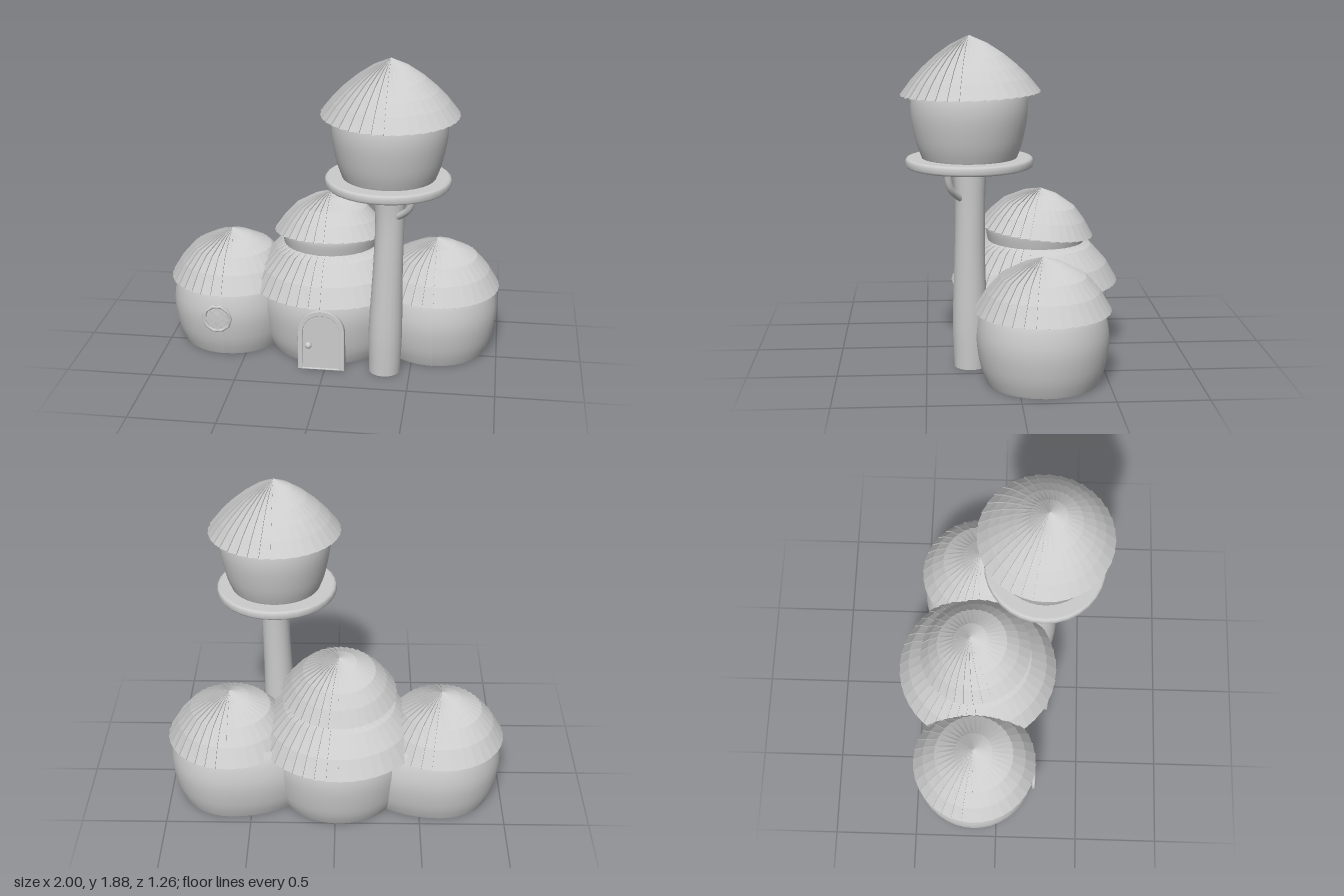
import * as THREE from 'three';

const smooth = new THREE.MeshStandardMaterial({ color: 0xcccccc });
const thatch = new THREE.MeshStandardMaterial({ color: 0xcccccc, flatShading: true, side: THREE.DoubleSide });
const v2 = (p) => new THREE.Vector2(p[0], p[1]);

export function createModel() {
  const model = new THREE.Group();

  function add(name, geometry, x = 0, y = 0, z = 0, material = smooth, parent = model) {
    const mesh = new THREE.Mesh(geometry, material);
    mesh.name = name;
    mesh.position.set(x, y, z);
    parent.add(mesh);
    return mesh;
  }

  // Bulging round wall with a closed, crisp base; profile runs from bottom to top
  function wallGeometry(profile) {
    const [r, y] = profile[0];
    const side = new THREE.SplineCurve(profile.map(v2)).getPoints(14);
    const base = [[0, y], [r - 0.006, y], [r - 0.001, y + 0.0005]].map(v2);
    return new THREE.LatheGeometry([...base, ...side], 40);
  }

  // Roof of overlapping strips: one edge of each strip stands proud of the next
  function roofGeometry(profile, strips = 36, lift = 0.007) {
    const pos = [];
    const point = (i, angle, raise) => {
      const [r, y] = profile[i];
      const up = i === 0 ? 0 : raise;
      return [Math.sin(angle) * (r + up * 0.5), y + up, Math.cos(angle) * (r + up * 0.5)];
    };
    const quad = (a, b, c, d) => pos.push(...a, ...b, ...c, ...a, ...c, ...d);
    for (let s = 0; s < strips; s++) {
      const a0 = (s / strips) * Math.PI * 2;
      const a1 = ((s + 1) / strips) * Math.PI * 2;
      for (let i = 0; i < profile.length - 1; i++) {
        quad(point(i, a0, 0), point(i + 1, a0, 0), point(i + 1, a1, lift), point(i, a1, lift));
        quad(point(i, a1, lift), point(i + 1, a1, lift), point(i + 1, a1, 0), point(i, a1, 0));
      }
    }
    const geometry = new THREE.BufferGeometry();
    geometry.setAttribute('position', new THREE.Float32BufferAttribute(pos, 3));
    geometry.computeVertexNormals();
    return geometry;
  }

  // Side huts, whose walls stretch towards the main hut at the back
  for (const side of [-1, 1]) {
    const x = side * 0.625;
    const wall = wallGeometry([[0.31, 0], [0.345, 0.1], [0.365, 0.25], [0.345, 0.38], [0.31, 0.45]]);
    const p = wall.attributes.position;
    for (let i = 0; i < p.count; i++) {
      if (p.getX(i) * side < 0 && p.getZ(i) < 0) p.setX(i, p.getX(i) * 1.5);
    }
    wall.computeVertexNormals();
    const name = side < 0 ? 'right' : 'left';
    add(name + 'HutWall', wall, x, 0, -0.14);
    add(name + 'HutRoof', roofGeometry([[0, 0.7], [0.11, 0.655], [0.235, 0.59], [0.31, 0.505], [0.373, 0.4]]),
      x, 0, -0.14, thatch);
  }

  // Main hut with two stacked roofs
  add('mainHutWall', wallGeometry([[0.365, 0], [0.405, 0.1], [0.433, 0.28], [0.42, 0.4], [0.39, 0.46]]), -0.02, 0, -0.14);
  add('mainHutRoof', roofGeometry([[0.26, 0.66], [0.33, 0.62], [0.425, 0.515], [0.488, 0.405]], 44), -0.02, 0, -0.14, thatch);
  add('upperStoreyWall', wallGeometry([[0.27, 0.6], [0.285, 0.66], [0.295, 0.73], [0.28, 0.77]]), -0.02, 0, -0.15);
  const upperRoof = add('upperStoreyRoof',
    roofGeometry([[0, 0.245], [0.1, 0.21], [0.21, 0.15], [0.275, 0.08], [0.335, -0.005]]), -0.02, 0.715, -0.15, thatch);
  upperRoof.rotation.x = -0.12;

  // Arched door
  function arch(halfWidth, straight, bottom = 0) {
    const s = new THREE.Shape();
    s.moveTo(-halfWidth, bottom);
    s.lineTo(halfWidth, bottom);
    s.lineTo(halfWidth, straight);
    s.absarc(0, straight, halfWidth, 0, Math.PI, false);
    s.closePath();
    return s;
  }
  const door = new THREE.Group();
  door.name = 'door';
  door.position.set(-0.02, 0, 0.2);
  model.add(door);
  add('doorPanel', new THREE.ExtrudeGeometry(arch(0.112, 0.237), { depth: 0.098, bevelEnabled: false, curveSegments: 16 }),
    0, 0, 0, smooth, door);
  const frame = arch(0.134, 0.237);
  frame.holes.push(arch(0.11, 0.237, 0.002));
  add('doorFrame', new THREE.ExtrudeGeometry(frame, {
    depth: 0.105, bevelThickness: 0.005, bevelSize: 0.003, bevelSegments: 2, curveSegments: 16,
  }), 0, 0.004, 0, smooth, door);
  add('doorKnob', new THREE.SphereGeometry(0.02, 16, 12), -0.075, 0.155, 0.105, smooth, door);

  // Round lattice window
  const lattice = new THREE.Group();
  lattice.name = 'window';
  lattice.position.set(-0.655, 0.255, 0.226);
  model.add(lattice);
  add('windowFrame', new THREE.TorusGeometry(0.08, 0.011, 8, 10), 0, 0, 0, smooth, lattice);
  for (const tilt of [-1, 1]) {
    for (const offset of [-0.045, 0, 0.045]) {
      const length = 2 * Math.sqrt(0.08 ** 2 - offset ** 2);
      const bar = add('windowBar', new THREE.BoxGeometry(0.009, length, 0.012),
        offset * Math.SQRT1_2, offset * tilt * Math.SQRT1_2, 0.002, smooth, lattice);
      bar.rotation.z = tilt * Math.PI / 4;
    }
  }

  // Tower trunk: stacked rings that wander and swell slightly
  const trunk = new THREE.CylinderGeometry(1, 1, 1, 20, 12);
  const path = new THREE.CatmullRomCurve3([[0.35, 0, 0.25], [0.352, 0.25, 0.252], [0.36, 0.6, 0.252],
    [0.367, 0.95, 0.248], [0.36, 1.18, 0.25]].map((p) => new THREE.Vector3(...p)));
  const radii = new THREE.SplineCurve([[0, 0.092], [0.25, 0.098], [0.5, 0.087], [0.8, 0.083], [1, 0.096]].map(v2));
  const tp = trunk.attributes.position;
  for (let i = 0; i < tp.count; i++) {
    const t = tp.getY(i) + 0.5;
    const c = path.getPoint(t);
    const r = radii.getPoint(t).y;
    tp.setXYZ(i, c.x + tp.getX(i) * r, c.y, c.z + tp.getZ(i) * r);
  }
  trunk.computeVertexNormals();
  add('towerTrunk', trunk);

  // Curved branch bracing the platform
  const branch = new THREE.CatmullRomCurve3([[0.39, 0.97, 0.28], [0.445, 1.01, 0.325], [0.485, 1.06, 0.36],
    [0.51, 1.17, 0.38]].map((p) => new THREE.Vector3(...p)));
  add('branch', new THREE.TubeGeometry(branch, 16, 0.02, 10));

  // Platform with rounded rim, tower room and its roof
  add('platform', new THREE.LatheGeometry([[0, 1.155], [0.335, 1.155], [0.348, 1.159], [0.355, 1.17], [0.355, 1.195],
    [0.348, 1.206], [0.335, 1.21], [0, 1.21]].map(v2), 32), 0.355, 0, 0.25);
  add('towerRoomWall', wallGeometry([[0.262, 1.205], [0.295, 1.3], [0.322, 1.45], [0.315, 1.56], [0.28, 1.63]]), 0.36, 0, 0.25);
  const towerRoof = add('towerRoof',
    roofGeometry([[0, 0.315], [0.1, 0.26], [0.187, 0.2], [0.262, 0.135], [0.32, 0.075], [0.383, -0.005]]), 0.36, 1.567, 0.243, thatch);
  towerRoof.rotation.x = 0.025;

  return model;
}
